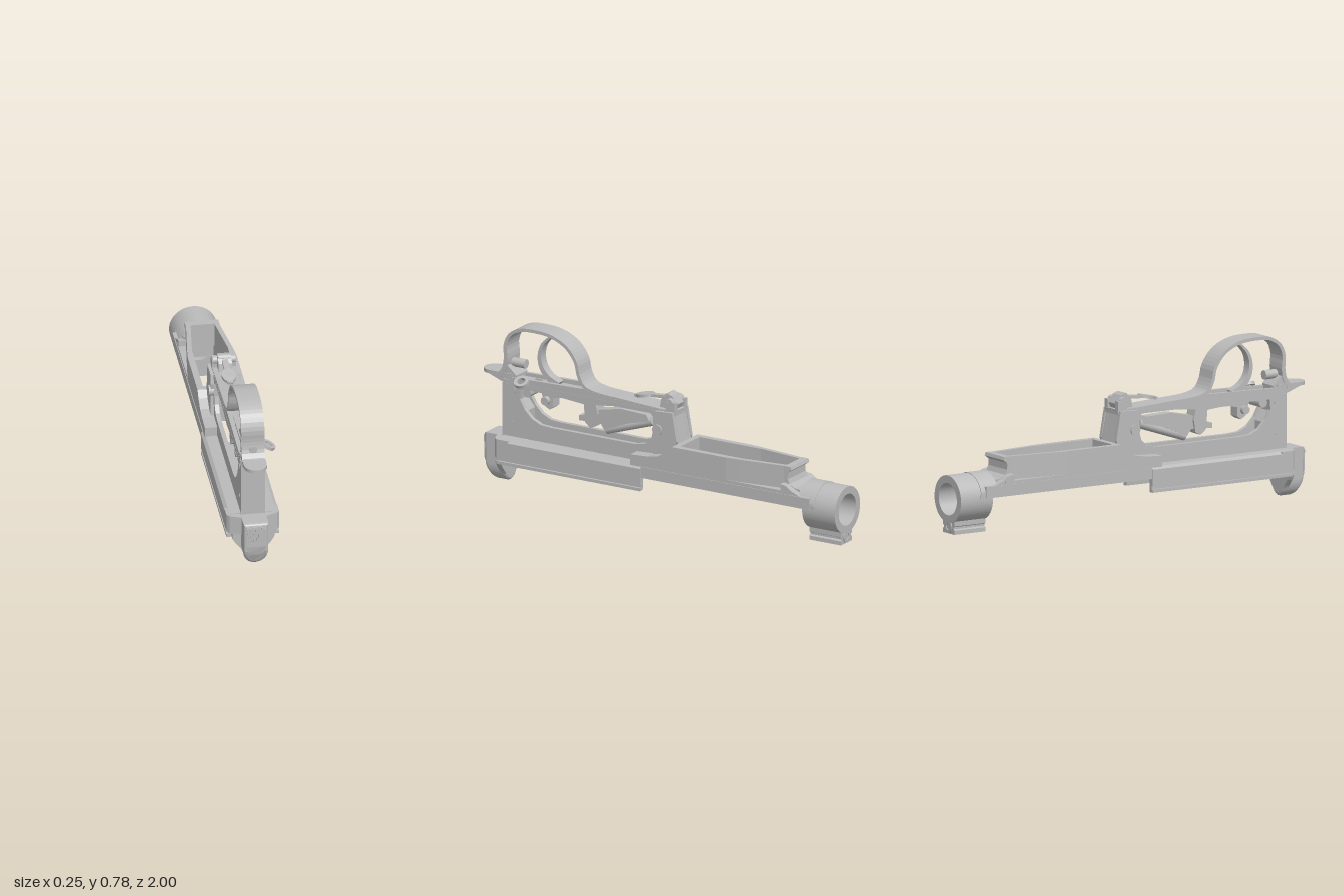
import * as THREE from 'three';

const steel = new THREE.MeshStandardMaterial({ color: 0xbababa });
steel.name = 'grey steel';

export function createModel() {
  const model = new THREE.Group();
  const add = (name, geo) => {
    const m = new THREE.Mesh(geo, steel);
    m.name = name;
    model.add(m);
    return m;
  };
  const toShape = (pts) => new THREE.Shape(pts.map(([a, b]) => new THREE.Vector2(a, b)));
  const extrude = (shape, depth) =>
    new THREE.ExtrudeGeometry(shape, { depth, bevelEnabled: false, curveSegments: 10 });
  const flip = (pts) => pts.map(([z, y]) => [-z, y]);

  // Outline in (z, y), extruded across x
  const side = (name, pts, x0, x1, holes = []) => {
    const s = toShape(flip(pts));
    holes.forEach((h) => s.holes.push(toShape(flip(h))));
    return add(name, extrude(s, x1 - x0).rotateY(Math.PI / 2).translate(x0, 0, 0));
  };
  const pair = (name, pts, x0, x1, holes) => {
    side(name + 'Left', pts, x0, x1, holes);
    side(name + 'Right', pts, -x1, -x0, holes);
  };
  // Outline in (x, z), extruded up y
  const plan = (name, pts, y0, y1, holes = []) => {
    const s = toShape(pts.map(([x, z]) => [x, -z]));
    holes.forEach((h) => s.holes.push(toShape(h.map(([x, z]) => [x, -z]))));
    return add(name, extrude(s, y1 - y0).rotateX(-Math.PI / 2).translate(0, y0, 0));
  };
  // Outline in (x, y), extruded along z
  const cross = (name, pts, z0, z1) => add(name, extrude(toShape(pts), z1 - z0).translate(0, 0, z0));
  const box = (name, x0, x1, y0, y1, z0, z1) =>
    add(name, new THREE.BoxGeometry(x1 - x0, y1 - y0, z1 - z0)
      .translate((x0 + x1) / 2, (y0 + y1) / 2, (z0 + z1) / 2));
  const pin = (name, x0, x1, y, z, r) =>
    add(name, new THREE.CylinderGeometry(r, r, x1 - x0, 20).rotateZ(Math.PI / 2)
      .translate((x0 + x1) / 2, y, z));
  const stud = (name, r, y, z0, z1) =>
    add(name, new THREE.CylinderGeometry(r, r, z1 - z0, 20).rotateX(Math.PI / 2)
      .translate(0, y, (z0 + z1) / 2));
  const mirror = (half) => [...half, ...half.slice().reverse().map(([x, y]) => [-x, y])];
  // Curved strip through (z, y) points; width(u) gives its thickness
  const band = (name, pts, width, x0, x1, n = 48) => {
    const c = new THREE.CatmullRomCurve3(pts.map(([z, y]) => new THREE.Vector3(z, y, 0)));
    const a = [], b = [];
    for (let i = 0; i <= n; i++) {
      const p = c.getPointAt(i / n), t = c.getTangentAt(i / n), w = width(i / n) / 2;
      a.push([p.x - t.y * w, p.y + t.x * w]);
      b.unshift([p.x + t.y * w, p.y - t.x * w]);
    }
    return side(name, [...a, ...b], x0, x1);
  };
  // Hollow round tube along z
  const tube = (name, ro, ri, y, z0, z1) => {
    const s = new THREE.Shape().absarc(0, 0, ro, 0, Math.PI * 2, false);
    s.holes.push(new THREE.Path().absarc(0, 0, ri, 0, Math.PI * 2, true));
    return add(name, new THREE.ExtrudeGeometry(s, { depth: z1 - z0, bevelEnabled: false, curveSegments: 32 })
      .translate(0, y, z0));
  };

  // Open well: full-width base, rim tapering towards the ring
  const wellHole = mirror([[0.085, -0.13], [0.085, -0.47], [0.055, -0.71]]);
  plan('wellBase', mirror([[0.115, -0.1], [0.115, -0.75]]), 0.18, 0.25, [wellHole]);
  plan('wellRim', mirror([[0.115, -0.1], [0.115, -0.4], [0.108, -0.47], [0.078, -0.7], [0.078, -0.72]]),
    0.25, 0.36, [wellHole]);
  pair('wellShoulder', [[0.13, 0.18], [0.13, 0.285], [0.04, 0.29], [-0.02, 0.3], [-0.07, 0.33],
    [-0.1, 0.36], [-0.1, 0.18]], 0.055, 0.115);

  // Scalloped neck, half collar and barrel ring
  side('neckBridge', [[-0.7, 0.36], [-0.735, 0.36], [-0.74, 0.345], [-0.72, 0.33], [-0.715, 0.31],
    [-0.73, 0.275], [-0.76, 0.26], [-0.8, 0.255], [-0.8, 0.24], [-0.7, 0.24]], -0.08, 0.08);
  pair('neckCheek', [[-0.7, 0.18], [-0.7, 0.28], [-0.73, 0.275], [-0.76, 0.255], [-0.89, 0.2],
    [-0.89, 0.18]], 0.078, 0.114);
  const collar = new THREE.Shape().absarc(0, 0, 0.118, 0.25, Math.PI - 0.25, false);
  collar.absarc(0, 0, 0.08, Math.PI - 0.25, 0.25, true);
  add('collar', extrude(collar, 0.095).translate(0, 0.172, -0.885));
  tube('barrelRing', 0.113, 0.077, 0.174, -1, -0.82);
  cross('ringLug', [[-0.05, 0.01], [0.05, 0.01], [0.05, 0.03], [0.04, 0.035], [0.04, 0.045],
    [0.05, 0.05], [0.05, 0.085], [-0.05, 0.085], [-0.05, 0.05], [-0.04, 0.045], [-0.04, 0.035],
    [-0.05, 0.03]], -0.995, -0.82);
  tube('lugEye', 0.03, 0.015, 0.042, -1, -0.98);

  // Long side rails, notched along the outside
  for (const s of [1, -1]) {
    cross('sideRail', [[0.06, 0.18], [0.095, 0.18], [0.1, 0.115], [0.125, 0.115], [0.125, 0.13],
      [0.114, 0.13], [0.114, 0.145], [0.125, 0.145], [0.125, 0.225], [0.11, 0.237], [0.055, 0.24]]
      .map(([x, y]) => [x * s, y]), 0.07, 0.862);
    box('railLedge', s > 0 ? 0.085 : -0.118, s > 0 ? 0.118 : -0.085, 0.18, 0.235, -0.86, 0.07);
  }
  box('channelRoof', -0.06, 0.06, 0.205, 0.24, 0.2, 0.87);
  tube('boltSocket', 0.055, 0.042, 0.168, 0.74, 0.87);

  // Rounded heel, sloping inwards at its foot, with an inset ribbed plate
  plan('heelFlare', mirror([[0.125, 0.8], [0.125, 0.862], [0.112, 0.878], [0.06, 0.9]]), 0.145, 0.236);
  cross('heelSkirt', mirror([[0.1, 0.146], [0.1, 0.115], [0.085, 0.09], [0.06, 0.06], [0.05, 0.045]]), 0.855, 0.885);
  const uShape = (w, yTop, yBot, k) => {
    const s = new THREE.Shape();
    s.moveTo(-w, yTop).lineTo(w, yTop).lineTo(w, yBot + k);
    s.absellipse(0, yBot + k, w, k, 0, -Math.PI, true);
    return s;
  };
  const slopeFoot = (geo) => {
    const p = geo.attributes.position;
    for (let i = 0; i < p.count; i++) {
      const d = Math.max(0, 0.13 - p.getY(i)) / 0.13;
      if (p.getZ(i) > 0.92) p.setZ(i, p.getZ(i) - 0.045 * d * d);
    }
    geo.computeVertexNormals();
    return geo;
  };
  add('heel', slopeFoot(new THREE.ExtrudeGeometry(uShape(0.045, 0.222, 0.018, 0.07), {
    depth: 0.09, bevelThickness: 0.014, bevelSize: 0.014, bevelSegments: 3, curveSegments: 14,
  }).translate(0, 0, 0.87)));
  add('heelPlate', slopeFoot(extrude(uShape(0.047, 0.22, 0.066, 0.05), 0.005).translate(0, 0, 0.973)));
  for (let i = -3; i <= 3; i++) {
    const x = i * 0.0135;
    cross('heelRib', [[x - 0.004, 0.217], [x * 0.9, 0.14 + Math.abs(i) * 0.002], [x + 0.004, 0.217]], 0.977, 0.983);
  }

  // Central housing walls with the large side window
  const window = [[0.77, 0.49], [0.775, 0.43], [0.75, 0.385], [0.71, 0.345], [0.66, 0.322], [0.6, 0.318],
    [0.14, 0.318], [0.08, 0.33], [0.05, 0.36], [0.04, 0.4], [0.04, 0.47], [0.06, 0.49]];
  pair('housingWall', [[0.872, 0.235], [0.872, 0.5], [0.8, 0.505], [-0.07, 0.505], [-0.1, 0.36],
    [-0.1, 0.28], [0.0, 0.235]], 0.036, 0.057, [window]);
  side('housingFront', [[0.87, 0.235], [0.87, 0.5], [0.79, 0.5], [0.79, 0.42], [0.75, 0.37], [0.75, 0.235]], -0.04, 0.04);
  side('housingRear', [[0.0, 0.3], [0.0, 0.5], [-0.07, 0.5], [-0.1, 0.36], [-0.1, 0.3]], -0.04, 0.04);
  pair('rearCheek', [[0.03, 0.29], [0.02, 0.4], [0.03, 0.46], [0.02, 0.505], [-0.075, 0.51],
    [-0.1, 0.37], [-0.08, 0.33], [-0.03, 0.3]], 0.055, 0.072);
  pin('rearPivot', -0.08, 0.08, 0.415, 0.005, 0.026);
  pin('frontPin', -0.06, 0.06, 0.468, 0.815, 0.016);
  pin('lowerPin', -0.059, 0.059, 0.31, 0.82, 0.01);

  // Guard floor plate with a slot for the trigger
  plan('floorPlate', mirror([[0.055, 0.87], [0.055, -0.08]]), 0.49, 0.515,
    [mirror([[0.03, 0.74], [0.03, 0.5]])]);
  pair('plateSide', [[0.84, 0.48], [0.84, 0.53], [0.42, 0.54], [0.3, 0.522], [-0.07, 0.51],
    [-0.07, 0.485], [0.25, 0.485], [0.42, 0.465], [0.6, 0.48]], 0.038, 0.056);

  // Trigger guard loop and rounded tang
  band('triggerGuard', [[0.89, 0.53], [0.865, 0.565], [0.855, 0.62], [0.858, 0.68], [0.835, 0.735],
    [0.78, 0.768], [0.69, 0.776], [0.6, 0.765], [0.52, 0.725], [0.47, 0.66], [0.455, 0.6],
    [0.425, 0.55], [0.37, 0.53], [0.2, 0.518], [-0.08, 0.503]],
    (u) => 0.016 + 0.008 * Math.max(0, 1 - 6 * u), -0.055, 0.055, 64);
  const tang = [];
  for (let i = 0; i <= 12; i++) {
    const a = (i / 12) * Math.PI;
    tang.push([Math.cos(a) * 0.054, 0.945 + Math.sin(a) * 0.055]);
  }
  plan('tang', [...tang, [-0.055, 0.82], [0.055, 0.82]], 0.528, 0.545);
  side('tangRoot', [[0.96, 0.53], [0.88, 0.5], [0.8, 0.5], [0.8, 0.54], [0.85, 0.585], [0.88, 0.55]], -0.05, 0.05);
  stud('guardStud', 0.019, 0.582, 0.86, 0.876);
  stud('guardLatch', 0.022, 0.588, 0.775, 0.855);

  // Trigger blade, sear and hammer linkage
  band('trigger', [[0.635, 0.75], [0.675, 0.705], [0.69, 0.65], [0.68, 0.595], [0.645, 0.55], [0.59, 0.52]],
    (u) => 0.01 + 0.022 * u, -0.022, 0.022, 24);
  side('triggerRoot', [[0.69, 0.52], [0.67, 0.46], [0.655, 0.41], [0.63, 0.395], [0.61, 0.41],
    [0.61, 0.455], [0.56, 0.465], [0.43, 0.465], [0.43, 0.52]], -0.028, 0.028);
  side('sear', [[0.44, 0.5], [0.43, 0.37], [0.4, 0.345], [0.37, 0.36], [0.36, 0.42], [0.38, 0.5]], -0.034, 0.034);
  side('hammer', [[0.47, 0.37], [0.47, 0.395], [0.38, 0.41], [0.36, 0.44], [0.24, 0.465],
    [0.1, 0.46], [0.08, 0.43], [0.2, 0.4], [0.33, 0.345], [0.35, 0.375]], -0.024, 0.024);
  const rod = add('springRod', new THREE.CylinderGeometry(0.022, 0.022, 0.27, 16).rotateX(Math.PI / 2 + 0.32));
  rod.position.set(0, 0.385, 0.2);
  pin('triggerPin', -0.05, 0.05, 0.44, 0.645, 0.02);
  pin('hammerPin', -0.05, 0.05, 0.465, 0.74, 0.022);

  // Tilted side tab with an eyelet
  const tab = new THREE.Shape().absarc(0, 0, 0.036, 0, Math.PI * 2, false);
  tab.holes.push(new THREE.Path().absarc(0, 0, 0.02, 0, Math.PI * 2, true));
  const eyelet = add('sideEyelet', extrude(tab, 0.016).rotateX(-Math.PI / 2));
  eyelet.position.set(0.087, 0.522, 0.745);
  eyelet.rotation.z = -0.5;

  // Rear latch lever, cross bars and hooks
  band('latchLever', [[0.17, 0.54], [0.12, 0.553], [0.05, 0.558], [-0.02, 0.565]], () => 0.014, -0.014, 0.014, 16);
  add('leverPad', new THREE.CylinderGeometry(0.034, 0.034, 0.014, 20).scale(1, 1, 1.4)
    .rotateX(0.2).translate(0, 0.552, 0.118));
  side('latchBody', [[0.02, 0.505], [0.01, 0.555], [-0.02, 0.585], [-0.05, 0.58], [-0.075, 0.54],
    [-0.06, 0.505]], -0.032, 0.032);
  pin('latchBar', -0.055, 0.055, 0.55, -0.045, 0.02);
  pin('latchKnob', -0.03, 0.03, 0.57, -0.025, 0.018);
  for (const s of [-1, 1]) box('latchHook', s * 0.045 - 0.012, s * 0.045 + 0.012, 0.5, 0.555, -0.08, -0.03);
  box('latchTongue', -0.03, 0.03, 0.32, 0.36, -0.12, -0.08);

  return model;
}
